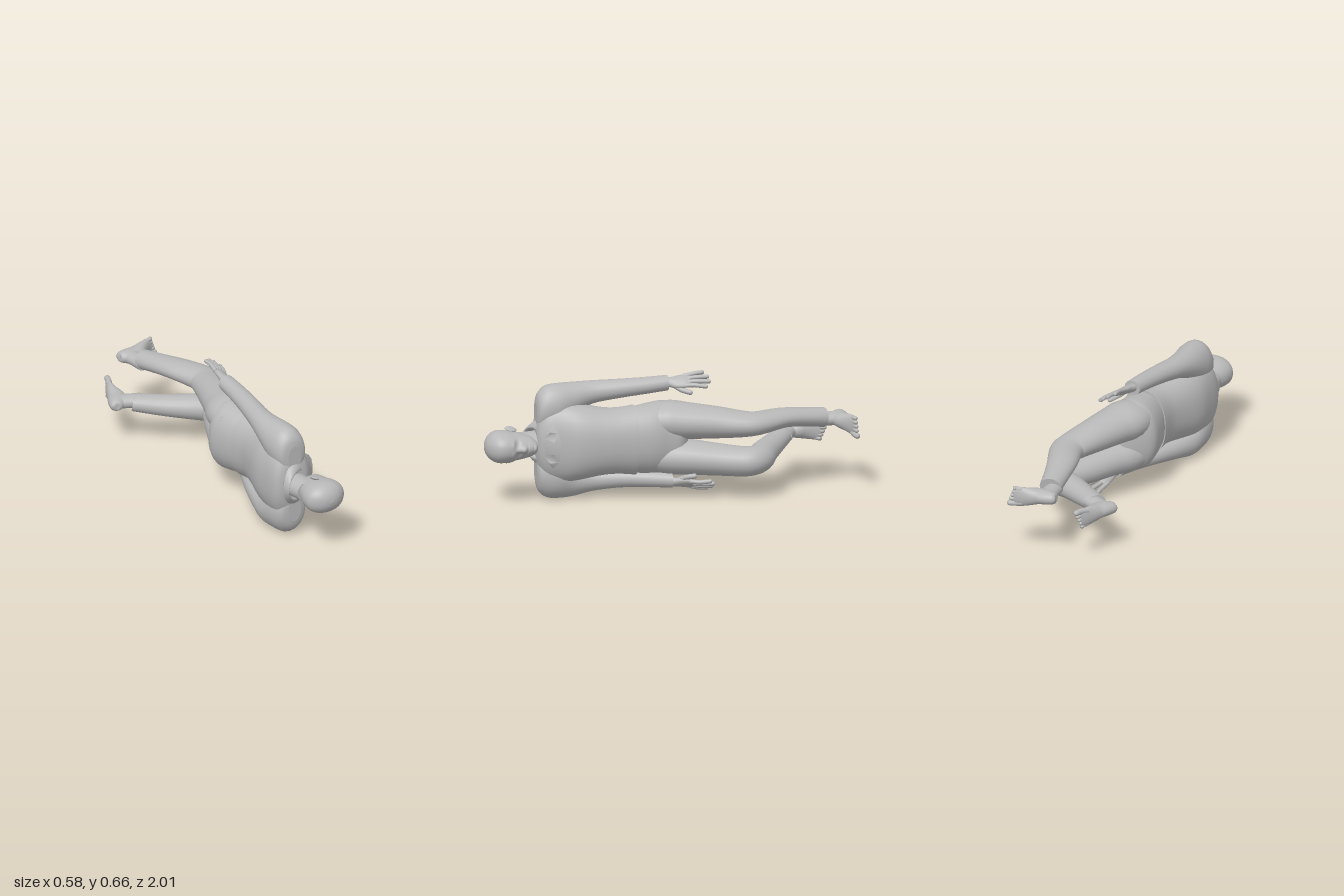
import * as THREE from 'three';

const skin = new THREE.MeshStandardMaterial({ color: 0xb8b8b8, side: THREE.DoubleSide });
skin.name = 'plain grey';

const MID = 0.307; // height of the body's plane of symmetry

// Catmull-Rom through rows of numbers
function smoothRows(rows, sub) {
  const out = [];
  const at = i => rows[Math.min(rows.length - 1, Math.max(0, i))];
  for (let i = 0; i < rows.length - 1; i++) {
    for (let k = 0; k < sub; k++) {
      const t = k / sub, a = at(i - 1), b = at(i), c = at(i + 1), d = at(i + 2);
      out.push(b.map((_, n) => 0.5 * (2 * b[n] + (c[n] - a[n]) * t
        + (2 * a[n] - 5 * b[n] + 4 * c[n] - d[n]) * t * t
        + (3 * b[n] - a[n] - 3 * c[n] + d[n]) * t * t * t)));
    }
  }
  out.push(rows[rows.length - 1]);
  return out;
}

// Skin over rings [x, y, z, radius across, radius in y]; dir fixes the ring plane
function loft(name, rows, { dir, seg = 24, sub = 4, power = 1, caps = true, shape } = {}) {
  const rings = smoothRows(rows, sub), pos = [], idx = [];
  const up = new THREE.Vector3(0, 1, 0);
  const centre = r => new THREE.Vector3(r[0], r[1], r[2]);
  const bend = (v) => Math.sign(v) * Math.abs(v) ** power;
  rings.forEach((r, i) => {
    const t = dir ? dir.clone().normalize()
      : centre(rings[Math.min(i + 1, rings.length - 1)]).sub(centre(rings[Math.max(i - 1, 0)])).normalize();
    const a = up.clone().cross(t).normalize(), b = t.clone().cross(a);
    for (let j = 0; j < seg; j++) {
      const th = j / seg * Math.PI * 2;
      const p = centre(r).addScaledVector(a, bend(Math.cos(th)) * Math.max(r[3], 0.001))
        .addScaledVector(b, bend(Math.sin(th)) * Math.max(r[4], 0.001));
      if (shape) shape(p);
      pos.push(p.x, p.y, p.z);
    }
  });
  for (let i = 0; i < rings.length - 1; i++) {
    for (let j = 0; j < seg; j++) {
      const p = i * seg + j, q = i * seg + (j + 1) % seg;
      idx.push(p, q, p + seg, q, q + seg, p + seg);
    }
  }
  if (caps) for (const [i, flip] of [[0, true], [rings.length - 1, false]]) {
    const base = pos.length / 3;
    pos.push(...rings[i].slice(0, 3), ...pos.slice(i * seg * 3, (i + 1) * seg * 3));
    for (let j = 0; j < seg; j++) {
      const p = base + 1 + j, q = base + 1 + (j + 1) % seg;
      idx.push(base, flip ? q : p, flip ? p : q);
    }
  }
  const g = new THREE.BufferGeometry();
  g.setAttribute('position', new THREE.Float32BufferAttribute(pos, 3));
  g.setIndex(idx);
  g.computeVertexNormals();
  const m = new THREE.Mesh(g, skin);
  m.name = name;
  return m;
}

// Rounded finger or toe through a few points
function digit(name, pts, r) {
  const n = pts.length - 1;
  const end = new THREE.Vector3(...pts[n]);
  const d = end.clone().sub(new THREE.Vector3(...pts[n - 1])).normalize();
  const tip = end.clone().addScaledVector(d, r * 0.7), nose = end.clone().addScaledVector(d, r);
  return loft(name, [...pts.map(p => [...p, r, r]), [...tip.toArray(), r * 0.7, r * 0.7],
    [...nose.toArray(), 0.001, 0.001]], { seg: 10, sub: 2 });
}

// Hand: fingers along -z, thumb on +x; s is +1 for left, -1 for right
function hand(name, s) {
  const g = new THREE.Group();
  g.name = name;
  g.add(loft('palm', [[0, 0, 0.04, 0.03, 0.024], [0, 0, -0.01, 0.03, 0.023], [0.004, 0, -0.05, 0.042, 0.021],
    [0.002, 0, -0.095, 0.045, 0.017], [0, 0, -0.12, 0.038, 0.009]], { seg: 16 }));
  [0.185, 0.21, 0.217, 0.2].forEach((len, i) => {
    const x = -0.034 + i * 0.0225;
    g.add(digit('finger', [[x, 0, -0.085], [x * 1.2, s * 0.004, -0.14], [x * 1.5, -s * 0.004, -len]], 0.0115));
  });
  g.add(digit('thumb', [[0.018, -s * 0.006, -0.03], [0.05, -s * 0.014, -0.07], [0.07, -s * 0.018, -0.115]], 0.0135));
  return g;
}

// Foot: toes along +x, ankle up +z; s is the side of the little toe in y
function foot(name, s) {
  const g = new THREE.Group();
  g.name = name;
  g.add(loft('ankle', [[0.008, 0, 0.06, 0.048, 0.038], [0.004, 0, 0.0, 0.048, 0.036], [0.002, 0, -0.06, 0.056, 0.037]],
    { dir: new THREE.Vector3(0, 0, -1) }));
  g.add(loft('sole', [[-0.066, 0, -0.075, 0.008, 0.008], [-0.057, 0, -0.075, 0.03, 0.027],
    [-0.02, 0, -0.065, 0.047, 0.037], [0.035, 0, -0.062, 0.052, 0.041], [0.085, 0, -0.083, 0.035, 0.049],
    [0.13, 0, -0.098, 0.021, 0.054], [0.168, 0, -0.105, 0.011, 0.048]]));
  for (let i = 0; i < 5; i++) {
    const y = s * (-0.04 + i * 0.0205 + (i ? 0.005 : 0)), r = i ? 0.011 : 0.016;
    g.add(digit('toe', [[0.12, y * 0.9, -0.1], [0.158, y, -0.1], [0.194 - i * 0.009, y, -0.107]], r));
  }
  return g;
}

export function createModel() {
  const model = new THREE.Group();
  model.name = 'recliningFigure';
  const back = new THREE.Vector3(0, 0, -1), ahead = new THREE.Vector3(0, 0, 1);

  // Head with sculpted face, looking along +x
  const bump = (p, z, y, sz, sy, h) => {
    p.x += h * Math.exp(-(((p.z - z) / sz) ** 2) - ((Math.abs(p.y - MID) - y) / sy) ** 2);
  };
  const face = p => {
    if (p.x < 0.05) return;
    bump(p, 0.838, 0.032, 0.013, 0.017, -0.014);
    bump(p, 0.838, 0.032, 0.006, 0.01, 0.006);
    bump(p, 0.862, 0.03, 0.011, 0.025, 0.005);
    bump(p, 0.802, 0, 0.013, 0.014, 0.022);
    bump(p, 0.825, 0, 0.02, 0.009, 0.012);
    bump(p, 0.773, 0, 0.005, 0.022, 0.007);
    bump(p, 0.761, 0, 0.005, 0.02, 0.006);
    bump(p, 0.74, 0, 0.01, 0.018, 0.008);
  };
  model.add(loft('head', [[0.07, MID, 0.724, 0.012, 0.012], [0.062, MID, 0.73, 0.042, 0.03],
    [0.045, MID, 0.752, 0.068, 0.05], [0.03, MID, 0.79, 0.088, 0.064], [0.022, MID, 0.84, 0.102, 0.075],
    [0.022, MID, 0.89, 0.115, 0.084], [0.02, MID, 0.935, 0.112, 0.083], [0.02, MID, 0.97, 0.085, 0.065],
    [0.02, MID, 0.992, 0.045, 0.035], [0.02, MID, 1.0, 0.004, 0.003]],
    { dir: ahead, seg: 56, sub: 8, power: 0.92, shape: face }));
  model.add(loft('neck', [[-0.035, MID, 0.62, 0.085, 0.07], [-0.03, MID, 0.72, 0.073, 0.06],
    [-0.015, MID, 0.82, 0.07, 0.06]], { dir: ahead }));

  // Shirt body, open collar and hem
  model.add(loft('shirtBody', [[-0.035, MID, 0.715, 0.075, 0.09], [-0.035, MID, 0.7, 0.1, 0.15],
    [-0.032, MID, 0.665, 0.117, 0.205], [-0.024, MID, 0.6, 0.13, 0.222], [-0.002, MID, 0.5, 0.15, 0.21],
    [0.023, MID, 0.37, 0.138, 0.183], [0.034, MID, 0.28, 0.13, 0.178], [0.034, MID, 0.19, 0.135, 0.188]],
    { dir: back, power: 0.88, seg: 36 }));
  model.add(loft('collar', [[0.016, MID, 0.67, 0.146, 0.138], [0.0, MID, 0.703, 0.122, 0.112],
    [-0.018, MID, 0.728, 0.096, 0.08], [-0.016, MID, 0.7, 0.084, 0.068]],
    { dir: new THREE.Vector3(0.42, 0, 0.9), caps: false, seg: 32 }));
  for (const s of [1, -1]) {
    const g = new THREE.BufferGeometry();
    const pts = [[0.085, 0.05, 0.69], [0.11, 0.085, 0.662], [0.126, 0.08, 0.61], [0.126, 0.033, 0.645]];
    g.setAttribute('position', new THREE.Float32BufferAttribute(pts.flatMap(p => [p[0], MID + s * p[1], p[2]]), 3));
    g.setIndex(s > 0 ? [0, 2, 1, 0, 3, 2] : [0, 1, 2, 0, 2, 3]);
    g.computeVertexNormals();
    const lapel = new THREE.Mesh(g, skin);
    lapel.name = 'lapel';
    model.add(lapel);

    // Ears
    const ear = new THREE.Mesh(new THREE.SphereGeometry(1, 16, 12), skin);
    ear.name = 'ear';
    ear.scale.set(0.021, 0.009, 0.033);
    ear.position.set(0.0, MID + s * 0.087, 0.853);
    ear.rotation.set(-s * 0.25, 0, -s * 0.5);
    model.add(ear);

    // Sleeves and hands; the right arm reaches further forward
    const f = s > 0 ? 0 : 1, y = v => MID + s * (v - MID);
    model.add(loft('sleeve', [[-0.03, y(0.46), 0.71, 0.04, 0.07], [-0.032, y(0.475), 0.697, 0.075, 0.1],
      [-0.034, y(0.49), 0.655, 0.092, 0.122], [-0.036, y(0.503), 0.59, 0.096, 0.117],
      [-0.045, y(0.535 - f * 0.005), 0.5, 0.081, 0.085], [-0.045 + f * 0.01, y(0.56 - f * 0.03), 0.4, 0.064, 0.062],
      [-0.025 + f * 0.03, y(0.576 - f * 0.055), 0.26, 0.057, 0.051],
      [-0.01 + f * 0.07, y(0.588 - f * 0.069), 0.12, 0.051, 0.045],
      [-0.004 + f * 0.105, y(0.598 - f * 0.075), 0.0, 0.046, 0.041]], { dir: back }));
    const h = hand(s > 0 ? 'leftHand' : 'rightHand', s);
    h.position.set(-0.002 + f * 0.105, y(0.6 - f * 0.068), -0.002);
    h.rotation.set(s * 0.1, -0.22, -s * 0.58);
    model.add(h);
  }

  // Trousers
  model.add(loft('hips', [[0.034, MID, 0.21, 0.124, 0.175], [0.022, MID, 0.1, 0.142, 0.192],
    [0.014, MID, 0.02, 0.138, 0.195], [0.04, MID, -0.05, 0.1, 0.16], [0.05, MID, -0.09, 0.05, 0.08]],
    { dir: back, seg: 36, power: 0.9 }));
  model.add(loft('leftTrouserLeg', [[0.012, 0.405, 0.1, 0.115, 0.085], [0.028, 0.405, 0, 0.132, 0.102],
    [0.06, 0.4, -0.1, 0.12, 0.096], [0.102, 0.393, -0.25, 0.104, 0.084], [0.138, 0.386, -0.38, 0.096, 0.069],
    [0.14, 0.387, -0.46, 0.09, 0.061], [0.085, 0.393, -0.6, 0.082, 0.052], [0.05, 0.382, -0.72, 0.07, 0.05],
    [0.02, 0.365, -0.845, 0.06, 0.052]]));
  model.add(loft('rightTrouserLeg', [[0.014, 0.21, 0.1, 0.115, 0.085], [0.04, 0.21, 0, 0.125, 0.1],
    [0.085, 0.208, -0.1, 0.117, 0.094], [0.144, 0.2, -0.25, 0.102, 0.085], [0.19, 0.196, -0.36, 0.092, 0.08],
    [0.2, 0.198, -0.415, 0.09, 0.078], [0.17, 0.202, -0.462, 0.082, 0.073], [0.09, 0.21, -0.505, 0.075, 0.066],
    [-0.03, 0.22, -0.58, 0.066, 0.056], [-0.16, 0.236, -0.667, 0.056, 0.046]]));

  // Bare feet
  const left = foot('leftFoot', 1), right = foot('rightFoot', -1);
  left.position.set(0.0, 0.352, -0.875);
  left.rotation.set(0, 0.04, -0.08);
  right.position.set(-0.175, 0.24, -0.68);
  right.rotation.y = 1.04;
  model.add(left, right);
  return model;
}
